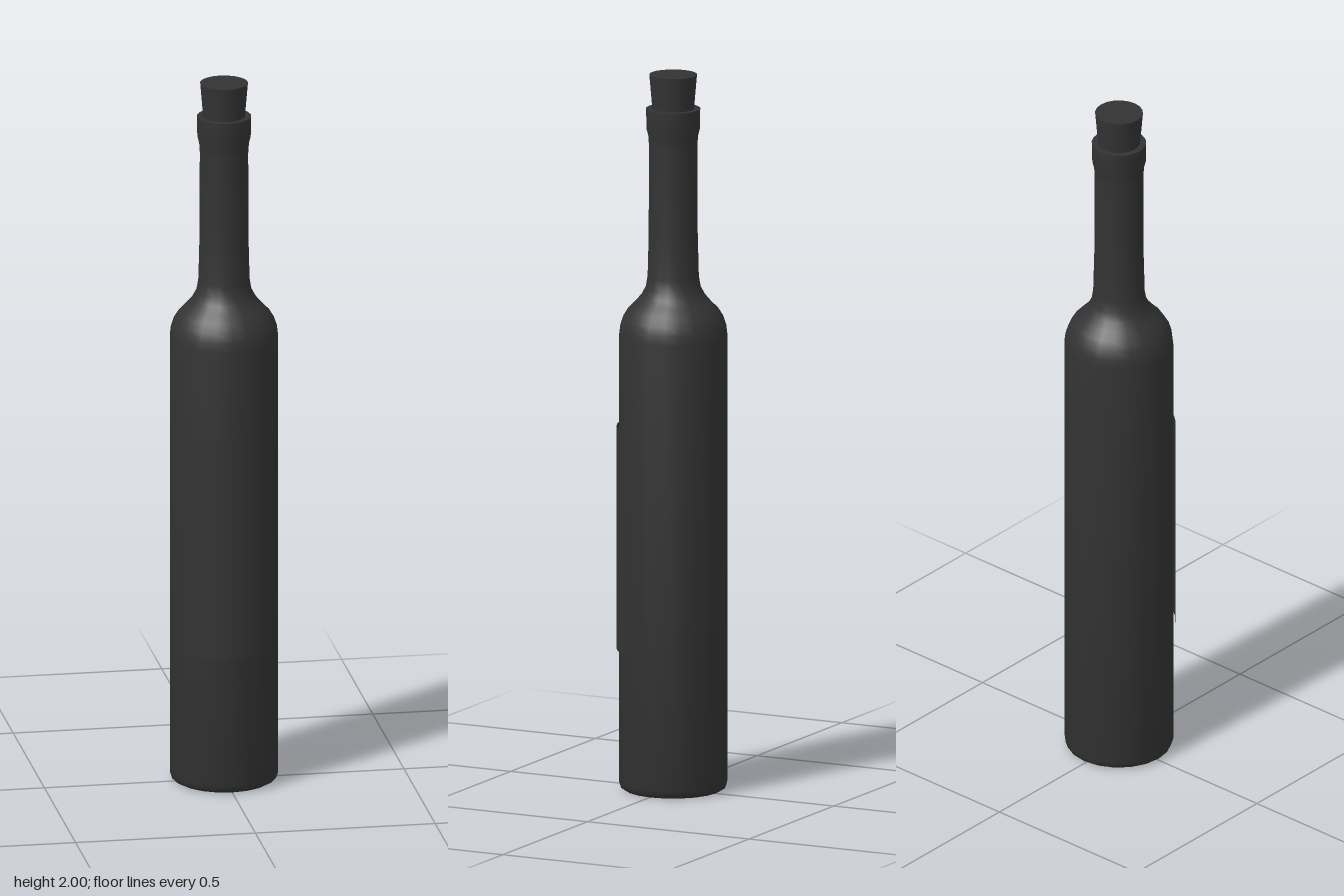
import * as THREE from 'three';
import { toCreasedNormals } from 'three/addons/utils/BufferGeometryUtils.js';

const SIDES = 20;

function part(name, geometry, material) {
  const mesh = new THREE.Mesh(geometry, material);
  mesh.name = name;
  return mesh;
}

// Turned part from [radius, height] pairs, listed bottom to top
function turned(points, sides) {
  const profile = points.map(([r, y]) => new THREE.Vector2(r, y));
  return toCreasedNormals(new THREE.LatheGeometry(profile, sides), 0.75);
}

export function createModel() {
  const group = new THREE.Group();
  group.name = 'bottle';
  const dark = new THREE.MeshStandardMaterial({ color: 0x333333 });
  const paper = new THREE.MeshStandardMaterial({ color: 0x333333, side: THREE.DoubleSide });

  // Body, shoulder, neck and lip in one profile
  const glass = part('glassBody', turned([
    [0, 0], [0.132, 0], [0.144, 0.007], [0.15, 0.025],
    [0.15, 1.27], [0.147, 1.295], [0.139, 1.32], [0.125, 1.343],
    [0.105, 1.363], [0.088, 1.383], [0.076, 1.405], [0.071, 1.435],
    [0.068, 1.55], [0.067, 1.8], [0.069, 1.83], [0.074, 1.85],
    [0.075, 1.905], [0.057, 1.905], [0.056, 1.86],
  ], SIDES), dark);

  // Tapered stopper seated in the neck
  const stopper = part('stopper', turned([
    [0, 1.86], [0.054, 1.86], [0.066, 2], [0, 2],
  ], SIDES), dark);

  // Thin label wrapped around the front
  const halfAngle = 0.96;
  const labelGeometry = new THREE.CylinderGeometry(
    0.155, 0.155, 0.625, 16, 1, true, -halfAngle, 2 * halfAngle);
  const label = part('label', labelGeometry, paper);
  label.position.y = 0.705;

  group.add(glass, stopper, label);
  group.children.forEach((mesh) => { mesh.position.z = -0.003; });
  return group;
}
